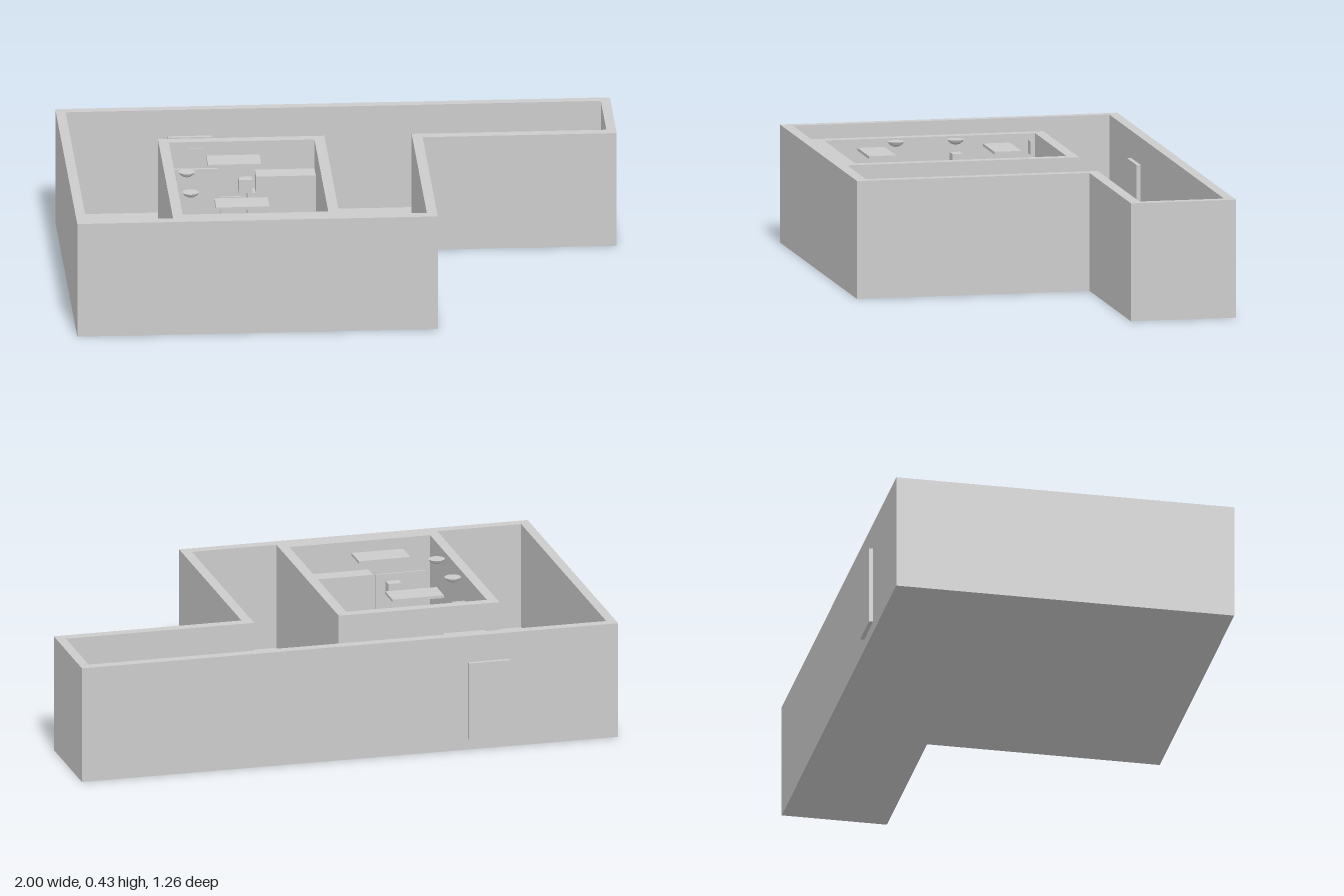
import * as THREE from 'three';

const FLOOR = 0.04, TOP = 0.43;
const material = new THREE.MeshStandardMaterial({ color: 0xcccccc, flatShading: true });
const points = list => list.map(([x, z]) => new THREE.Vector2(x, z));

export function createModel() {
  const model = new THREE.Group();

  function add(name, geometry, parent = model) {
    const mesh = new THREE.Mesh(geometry, material);
    mesh.name = name;
    parent.add(mesh);
    return mesh;
  }

  // Box given by its limits on each axis
  function box(name, [x0, x1], [y0, y1], [z0, z1], parent) {
    const mesh = add(name, new THREE.BoxGeometry(x1 - x0, y1 - y0, z1 - z0), parent);
    mesh.position.set((x0 + x1) / 2, (y0 + y1) / 2, (z0 + z1) / 2);
    return mesh;
  }

  // Floor plan extruded between two heights
  function plan(name, outline, holes, y0, y1) {
    const shape = new THREE.Shape(points(outline));
    holes.forEach(hole => shape.holes.push(new THREE.Path(points(hole))));
    const geometry = new THREE.ExtrudeGeometry(shape, { depth: y1 - y0, bevelEnabled: false });
    geometry.rotateX(Math.PI / 2).translate(0, y1, 0);
    add(name, geometry);
  }

  // L-shaped building, with a corridor wrapping an inner room
  const outline = [[-1, -0.615], [1, -0.615], [1, -0.228], [0.3, -0.228], [0.3, 0.628], [-1, 0.628]];
  const corridor = [[-0.965, -0.578], [0.965, -0.578], [0.965, -0.267], [0.263, -0.267], [0.263, 0.588],
    [-0.052, 0.588], [-0.052, -0.267], [-0.652, -0.267], [-0.652, 0.588], [-0.965, 0.588]];
  const room = [[-0.615, -0.228], [-0.09, -0.228], [-0.09, 0.55], [-0.615, 0.55]];
  plan('floor', outline, [], 0, FLOOR);
  plan('walls', outline, [corridor, room], FLOOR, TOP);

  // Doors pass through the walls and stand slightly proud of both faces
  box('outerDoor', [-0.597, -0.44], [FLOOR, 0.33], [-0.63, -0.563]);
  box('innerDoor', [-0.597, -0.44], [FLOOR, 0.33], [-0.283, -0.217]);

  // Ceiling fittings
  for (const z of [-0.058, 0.404]) {
    box('ceilingLight', [-0.488, -0.296], [0.41, 0.42], [z - 0.05, z + 0.05]);
  }
  for (const z of [0.075, 0.295]) {
    const profile = points([[0, -0.02], [0.015, -0.016], [0.025, -0.009], [0.03, 0], [0, 0]]);
    add('domeLamp', new THREE.LatheGeometry(profile, 20)).position.set(-0.57, 0.425, z);
  }
  box('projector', [-0.386, -0.337], [0.36, 0.41], [0.1, 0.137]);
  box('hangingSign', [-0.543, -0.497], [0.37, 0.42], [-0.192, -0.186]);

  // Cupboards along the two end walls
  box('backCupboard', [-0.198, -0.09], [FLOOR, 0.32], [-0.228, -0.152]);
  box('backCounter', [-0.305, -0.198], [FLOOR, 0.32], [-0.228, -0.152]);
  box('backCabinet', [-0.335, -0.305], [FLOOR, 0.25], [-0.228, -0.175]);
  box('frontCupboard', [-0.385, -0.09], [FLOOR, 0.32], [0.486, 0.55]);
  box('frontCabinet', [-0.423, -0.385], [FLOOR, 0.16], [0.49, 0.535]);
  box('frontBoard', [-0.6, -0.41], [0.15, 0.3], [0.543, 0.55]);

  // T-shaped desk
  const desk = new THREE.Group();
  desk.name = 'desk';
  model.add(desk);
  box('sideTop', [-0.135, -0.09], [0.145, 0.155], [0.072, 0.312], desk);
  box('middleTop', [-0.315, -0.135], [0.145, 0.155], [0.157, 0.226], desk);
  box('endPanel', [-0.315, -0.307], [FLOOR, 0.145], [0.157, 0.226], desk);
  for (const z of [0.072, 0.304]) box('sidePanel', [-0.135, -0.09], [FLOOR, 0.145], [z, z + 0.008], desk);

  // Small table carrying a few objects
  box('smallTableTop', [-0.28, -0.203], [0.11, 0.12], [0.262, 0.312]);
  for (const x of [-0.275, -0.216]) for (const z of [0.267, 0.299]) {
    box('smallTableLeg', [x, x + 0.008], [FLOOR, 0.11], [z, z + 0.008]);
  }
  for (const [x, z, y] of [[-0.25, 0.275, 0.12], [-0.228, 0.285, 0.12], [-0.168, 0.272, FLOOR], [-0.157, 0.137, FLOOR]]) {
    add('smallObject', new THREE.CylinderGeometry(0.008, 0.008, 0.03, 10)).position.set(x, y + 0.015, z);
  }

  // Two chairs turned at different angles
  function chair(x, z, turn, hasBack) {
    const group = new THREE.Group();
    group.name = 'chair';
    group.position.set(x, FLOOR, z);
    group.rotation.y = turn;
    model.add(group);
    box('seat', [-0.032, 0.032], [0.065, 0.075], [-0.025, 0.025], group);
    for (const lx of [-0.03, 0.024]) for (const lz of [-0.023, 0.017]) {
      box('leg', [lx, lx + 0.006], [0, 0.065], [lz, lz + 0.006], group);
    }
    if (hasBack) box('back', [-0.032, 0.032], [0.075, 0.14], [-0.028, -0.02], group);
  }
  chair(-0.22, 0, -0.5, true);
  chair(-0.215, 0.097, -0.75, false);

  // Fittings on the side walls
  box('wallPanel', [-0.615, -0.6], [0.2, 0.3], [-0.06, -0.003]);
  box('wallSwitch', [-0.615, -0.607], [0.16, 0.21], [0.157, 0.21]);
  box('wallBox', [-0.105, -0.09], [0.18, 0.23], [0.37, 0.39]);
  box('backWallSwitch', [-0.43, -0.355], [0.16, 0.22], [-0.228, -0.22]);

  return model;
}
